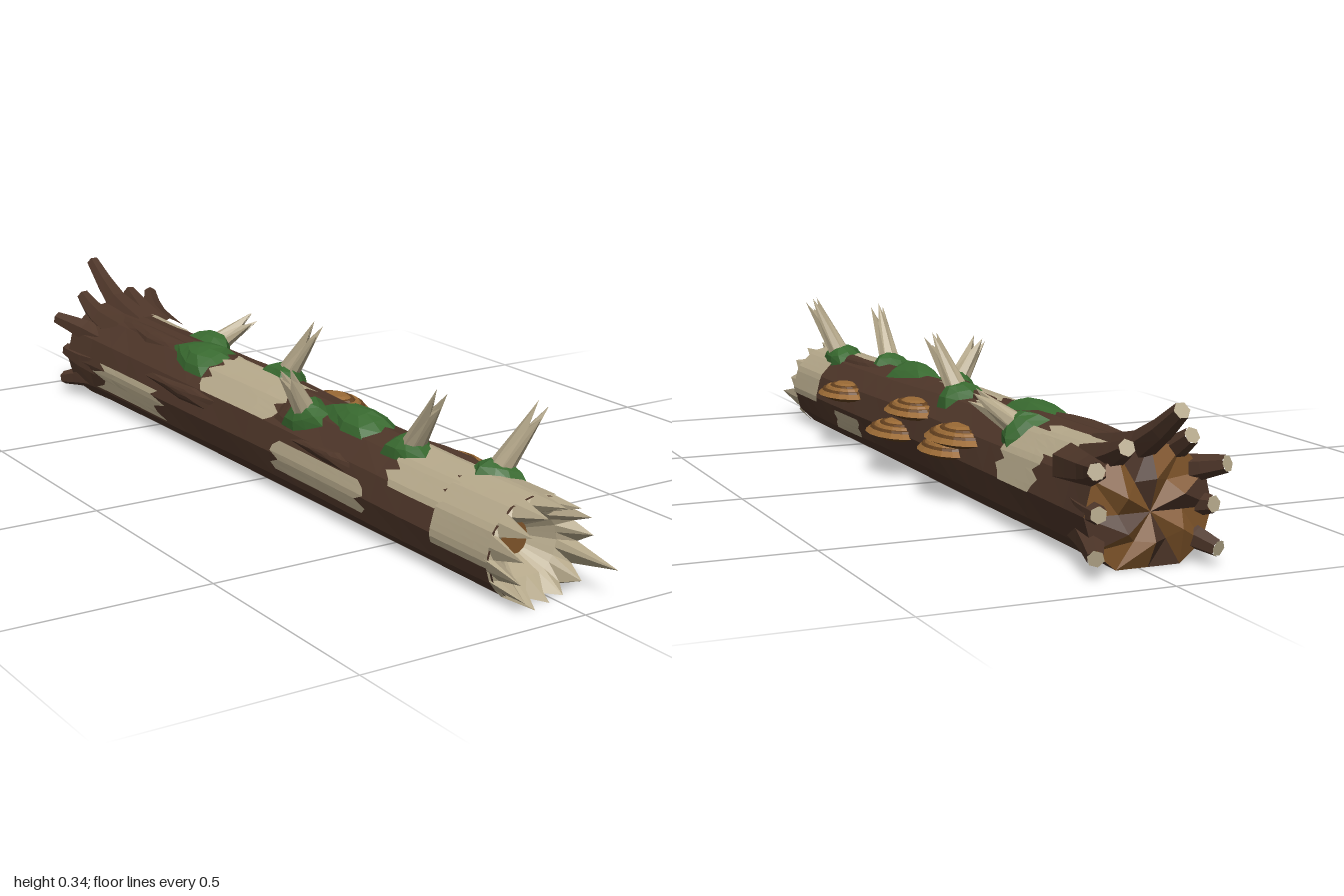
import * as THREE from 'three';

const mat = (name, color) => {
  const m = new THREE.MeshStandardMaterial({ color });
  m.name = name;
  return m;
};
const bark = mat('bark', 0x4e3629);
const wood = mat('bareWood', 0xb5a88a);
const moss = mat('moss', 0x38692f);
const heart = mat('heartwood', 0x80552a);
const ringLight = mat('fungusLight', 0x9a6a35);
const ringDark = mat('fungusDark', 0x64411f);

const V = (x, y, z) => new THREE.Vector3(x, y, z);
const rad = THREE.MathUtils.degToRad;
const lerp = THREE.MathUtils.lerp;

// Log sections: z, centre x, centre y, radius
const sections = [
  [-0.88, -0.02, 0.106, 0.136], [-0.78, -0.018, 0.103, 0.126], [-0.6, -0.018, 0.102, 0.121],
  [-0.3, -0.018, 0.1, 0.119], [0, -0.018, 0.1, 0.117], [0.3, -0.018, 0.095, 0.111],
  [0.6, -0.018, 0.09, 0.109], [1.1, -0.018, 0.09, 0.108],
];

// Point on the twelve-sided trunk at an angle (degrees) and z, lifted by off
function onLog(deg, z, off = 0) {
  let i = 0;
  while (i < sections.length - 2 && z > sections[i + 1][0]) i++;
  const [p, q] = [sections[i], sections[i + 1]];
  const t = (z - p[0]) / (q[0] - p[0]);
  const [cx, cy, r0] = [1, 2, 3].map(k => lerp(p[k], q[k], t));
  const local = (((deg % 30) + 30) % 30) - 15;
  const bump = 1 + 0.012 * Math.sin(rad(deg) * 3 + z * 7);
  const r = r0 * bump * Math.cos(rad(15)) / Math.cos(rad(local)) + off;
  return V(cx + r * Math.cos(rad(deg)), Math.max(0, cy + r * Math.sin(rad(deg))), z);
}

function mesh(name, geo, material, flat = true) {
  const g = flat && geo.index ? geo.toNonIndexed() : geo;
  if (flat) g.computeVertexNormals();
  const m = new THREE.Mesh(g, material);
  m.name = name;
  return m;
}

// Faceted sheet from a rule fn(i, j) over a grid
function sheet(name, nu, nv, fn, material) {
  const pos = [], index = [];
  for (let j = 0; j <= nv; j++) for (let i = 0; i <= nu; i++) pos.push(...fn(i, j).toArray());
  for (let j = 0; j < nv; j++) for (let i = 0; i < nu; i++) {
    const a = j * (nu + 1) + i, b = a + nu + 1;
    index.push(a, a + 1, b + 1, a, b + 1, b);
  }
  const g = new THREE.BufferGeometry();
  g.setAttribute('position', new THREE.Float32BufferAttribute(pos, 3));
  g.setIndex(index);
  return mesh(name, g, material);
}

// Thin piece of bare wood following the trunk, with uneven ends
function patch(z0, z1, a0, a1, ragged = 0.02) {
  const nu = Math.ceil((a1 - a0) / 7.5);
  return sheet('bareWoodPatch', nu, 4, (i, j) => {
    const s = Math.sin(i * 2.3 + z0 * 9) * ragged;
    return onLog(lerp(a0, a1, i / nu), lerp(z0 + s, z1 - s, j / 4), 0.004);
  }, wood);
}

// Low irregular mound hugging the trunk
function mound(name, material, z, deg, rz, ra, h) {
  return sheet(name, 3, 9, (i, j) => {
    const s = i / 3, t = (j % 9) / 9 * Math.PI * 2;
    const k = s * (1 + 0.2 * Math.sin(t * 3 + z * 20));
    return onLog(deg + ra * k * Math.cos(t), z + rz * k * Math.sin(t), h * (1 - s * s) + 0.008 - 0.01 * s * s);
  }, material);
}

// Snapped branch with a splintered top
function stub(base, tip) {
  const dir = tip.clone().sub(base), len = dir.length();
  const g = new THREE.CylinderGeometry(0.016, 0.027, len, 8, 1);
  const p = g.attributes.position;
  for (let i = 0; i < p.count; i++) {
    if (p.getY(i) < 0) continue;
    const x = p.getX(i), z = p.getZ(i);
    if (Math.hypot(x, z) < 0.001) { p.setY(i, len * 0.2); continue; }
    const k = Math.round(Math.atan2(x, z) / (Math.PI / 4)) + 8;
    p.setY(i, k % 2 ? len * 0.2 : len * (0.5 - 0.12 * ((k / 2) % 3 % 2)));
  }
  const m = mesh('brokenBranch', g, wood);
  m.quaternion.setFromUnitVectors(V(0, 1, 0), dir.normalize());
  m.position.copy(base).lerp(tip, 0.5);
  return m;
}

// Tapered root with a pale cut end
function root(points) {
  const group = new THREE.Group();
  group.name = 'root';
  const curve = new THREE.CatmullRomCurve3(points.map(p => V(...p)));
  const g = new THREE.TubeGeometry(curve, 4, 0.042, 6);
  const p = g.attributes.position, v = V(0, 0, 0);
  for (let i = 0; i < p.count; i++) {
    const t = Math.floor(i / 7) / 4, c = curve.getPointAt(t);
    v.fromBufferAttribute(p, i).sub(c).multiplyScalar(lerp(1, 0.4, t)).add(c);
    p.setXYZ(i, v.x, Math.max(0, v.y), v.z);
  }
  const cap = mesh('rootEnd', new THREE.CircleGeometry(0.0168, 6), wood);
  cap.quaternion.setFromUnitVectors(V(0, 0, 1), curve.getTangentAt(1));
  cap.position.copy(curve.getPointAt(1));
  group.add(mesh('rootBark', g, bark), cap);
  return group;
}

// Shelf fungus with stepped growth bands
function shelf(x, y, z, size) {
  const group = new THREE.Group();
  group.name = 'shelfFungus';
  [[1, 0.85, 0.010, 0], [0.86, 0.8, 0.006, 0.007], [0.74, 0.66, 0.007, 0.012],
    [0.56, 0.5, 0.005, 0.017], [0.44, 0.3, 0.006, 0.021]].forEach(([r0, r1, h, dy], i) => {
    const m = mesh('fungusBand', new THREE.CylinderGeometry(r1, r0, h, 16), i % 2 ? ringDark : ringLight);
    m.position.y = dy;
    m.scale.set(0.62 * size, 1, size);
    group.add(m);
  });
  const under = mesh('fungusUnderside', new THREE.CylinderGeometry(1, 0.6, 0.012, 16), ringDark);
  under.position.y = -0.011;
  under.scale.set(0.62 * size, 1, size);
  group.add(under);
  group.position.set(x, y - 0.004, z);
  return group;
}

export function createModel() {
  const model = new THREE.Group();
  model.name = 'fallenLog';

  // Trunk
  model.add(sheet('trunk', 12, 18, (i, j) => onLog(i * 30, lerp(-0.86, 0.87, j / 18)), bark));

  // Splintered front end: outer wall, jagged rim, hollow bowl
  const middle = V(-0.018, 0.092, 0);
  model.add(sheet('splinteredEnd', 28, 3, (i, j) => {
    const k = i % 28, deg = k * 360 / 28 - 13, tooth = k % 2 === 0;
    const tip = k === 0 ? 0.99 : 0.9 + 0.065 * Math.abs(Math.sin(k * 1.7));
    if (j === 0) return onLog(deg, 0.86, 0.003);
    if (j === 1) return onLog(deg, tooth ? tip : 0.875, tooth ? 0 : -0.008);
    const p = onLog(deg, 0.87);
    return p.lerp(middle.clone().setZ(p.z), j === 2 ? 0.35 : 0.67).setZ(j === 2 ? 0.85 : 0.8);
  }, wood));
  const core = mesh('frontHeartwood', new THREE.CircleGeometry(0.038, 10), heart);
  core.position.set(-0.018, 0.092, 0.803);
  model.add(core);

  // Faceted root end, alternating wedges
  for (let w = 0; w < 12; w++) {
    model.add(sheet('rootEndWedge', 1, 2, (i, j) => {
      const k = (w + 1 - i) % 12, p = onLog(k * 30, -0.86);
      const c = V(-0.02, 0.106, -0.86);
      return p.lerp(c, j / 2).setZ(-0.86 - (j === 1 ? (k % 2 ? 0.03 : 0.005) : j === 2 ? 0.005 : 0));
    }, w % 3 === 2 ? bark : heart));
  }

  // Bare wood where bark has fallen away: z range, angle range
  [[0.69, 0.868, -5, 190, 0], [0.52, 0.7, 82, 155], [-0.23, 0.08, 82, 150], [-0.62, -0.45, 0, 62],
    [-0.77, -0.55, 38, 76], [0.38, 0.55, -28, -5, 0.008], [0.12, 0.45, 163, 198],
    [-0.7, -0.4, 172, 205, 0.04]].forEach(p => model.add(patch(...p)));

  // Raised bark plates
  [[0.14, 125, 0.08, 22], [-0.12, 80, 0.16, 7], [0.6, 75, 0.14, 10], [-0.55, 110, 0.2, 14],
    [0.3, 155, 0.12, 9], [-0.3, 160, 0.18, 10]]
    .forEach(([z, a, rz, ra]) => model.add(mound('barkPlate', bark, z, a, rz, ra, 0.004)));

  // Moss patches
  model.add(mound('mossPatch', moss, 0.3, 95, 0.11, 32, 0.018));
  model.add(mound('mossPatch', moss, -0.33, 108, 0.11, 33, 0.014));

  // Broken branches in mossy collars: z, angle, tip
  [[0.71, 73, [0.075, 0.335, 0.77]], [0.5, 103, [-0.042, 0.33, 0.6]], [0.17, 122, [-0.14, 0.295, 0.18]],
    [-0.07, 72, [0.06, 0.335, 0]], [-0.44, 57, [0.135, 0.265, -0.4]]].forEach(([z, a, tip]) => {
    model.add(mound('mossCollar', moss, z, a, 0.065, 27, 0.022));
    model.add(stub(onLog(a, z, -0.005), V(...tip)));
  });

  // Shelf fungi along the left side
  [[0.085, 0.14, 0.49, 0.1], [0.088, 0.105, 0.13, 0.11], [0.08, 0.165, 0.05, 0.1],
    [0.09, 0.115, -0.165, 0.095], [0.085, 0.15, -0.22, 0.11]].forEach(f => model.add(shelf(...f)));

  // Roots fanning out at the back
  [[[-0.01, 0.19, -0.7], [-0.01, 0.235, -0.86], [-0.01, 0.315, -0.99]],
    [[0.06, 0.17, -0.7], [0.1, 0.19, -0.86], [0.15, 0.215, -0.975]],
    [[-0.08, 0.15, -0.74], [-0.115, 0.175, -0.84], [-0.152, 0.195, -0.915]],
    [[-0.06, 0.18, -0.72], [-0.078, 0.21, -0.83], [-0.085, 0.25, -0.9]],
    [[0.035, 0.18, -0.74], [0.05, 0.215, -0.85], [0.058, 0.24, -0.915]],
    [[-0.08, 0.07, -0.72], [-0.11, 0.055, -0.82], [-0.14, 0.035, -0.91]],
    [[0.05, 0.07, -0.72], [0.08, 0.055, -0.82], [0.115, 0.04, -0.91]],
    [[-0.1, 0.1, -0.74], [-0.125, 0.105, -0.82], [-0.14, 0.115, -0.89]],
    [[0.06, 0.11, -0.74], [0.085, 0.11, -0.82], [0.1, 0.115, -0.89]]]
    .forEach(r => model.add(root(r)));

  return model;
}
